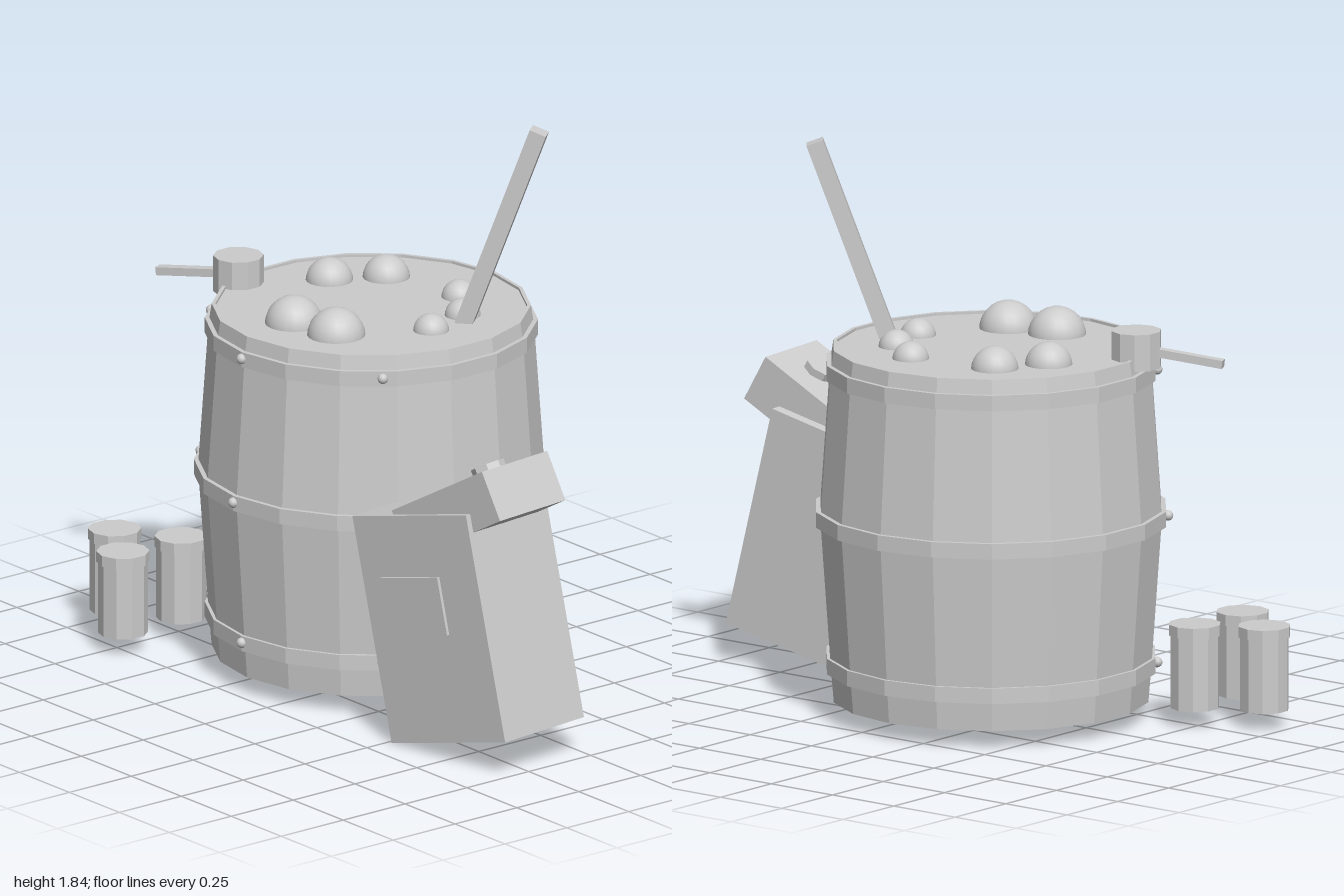
import * as THREE from 'three';

const rad = THREE.MathUtils.degToRad;

export function createModel() {
  const model = new THREE.Group();
  model.name = 'barrelStall';
  const grey = new THREE.MeshStandardMaterial({ color: 0xcccccc });
  grey.name = 'plainGrey';

  // facet a geometry so each face has its own normal
  const facet = (geometry) => {
    const g = geometry.index ? geometry.toNonIndexed() : geometry;
    g.computeVertexNormals();
    return g;
  };
  const add = (parent, name, geometry, x = 0, y = 0, z = 0) => {
    const mesh = new THREE.Mesh(geometry, grey);
    mesh.name = name;
    mesh.position.set(x, y, z);
    parent.add(mesh);
    return mesh;
  };
  const group = (name, x, y, z, parent = model) => {
    const g = new THREE.Group();
    g.name = name;
    g.position.set(x, y, z);
    parent.add(g);
    return g;
  };
  const lathe = (points) =>
    facet(new THREE.LatheGeometry(points.map(([r, y]) => new THREE.Vector2(r, y)), 18));

  // barrel with a shallow recessed top
  const barrel = group('barrel', -0.14, 0, -0.035);
  add(barrel, 'barrelBody', lathe([
    [0, 0.055], [0.502, 0.055], [0.512, 0.175], [0.545, 0.645], [0.512, 1.12],
    [0.502, 1.187], [0.49, 1.187], [0.49, 1.178], [0, 1.178],
  ]));

  // hoops, each with three rivets around the front
  for (const [y, r] of [[0.172, 0.524], [0.645, 0.558], [1.115, 0.524]]) {
    const h = 0.025;
    add(barrel, 'hoop', lathe([[0.49, y - h], [r, y - h], [r, y + h], [0.49, y + h]]));
    for (const a of [-0.96, 0, 0.96]) {
      add(barrel, 'rivet', new THREE.SphereGeometry(0.017, 10, 8),
        Math.sin(a) * r, y + 0.003, Math.cos(a) * r);
    }
  }

  // balls half sunk in the top: x, z, radius
  const balls = [
    [-0.34, -0.257, 0.075], [-0.43, 0.1, 0.075], [-0.174, 0.25, 0.092], [0, 0.22, 0.092],
    [-0.045, -0.315, 0.058], [0.1, -0.21, 0.057], [0.153, -0.04, 0.057],
  ];
  balls[1][1] = -0.1;
  for (const [x, z, r] of balls) {
    add(model, 'ball', new THREE.SphereGeometry(r, 20, 14), x, 1.175, z);
  }

  // box laid between two points, its length along local z
  const beam = (parent, name, from, to, w, h) => {
    const a = new THREE.Vector3(...from), b = new THREE.Vector3(...to);
    const mesh = add(parent, name, new THREE.BoxGeometry(w, h, a.distanceTo(b)));
    mesh.position.copy(a).add(b).multiplyScalar(0.5);
    mesh.lookAt(b);
    return mesh;
  };
  // stirring paddle
  beam(model, 'paddle', [0.13, 1.1, -0.159], [0.335, 1.825, -0.33], 0.053, 0.055);

  // ladle on the rim
  const ladle = group('ladle', 0, 0, 0);
  add(ladle, 'ladleCup', facet(new THREE.CylinderGeometry(0.08, 0.08, 0.118, 10)), -0.588, 1.21, 0.14);
  beam(ladle, 'ladleHandle', [-0.62, 1.206, 0.155], [-0.846, 1.176, 0.257], 0.032, 0.026);

  // capped cups beside the barrel
  for (const [x, z] of [[-0.917, 0.374], [-0.73, 0.257], [-0.73, 0.492]]) {
    const cup = group('cup', x, 0, z);
    add(cup, 'cupBody', facet(new THREE.CylinderGeometry(0.079, 0.079, 0.24, 10)), 0, 0.175, 0);
    add(cup, 'cupCap', facet(new THREE.CylinderGeometry(0.084, 0.084, 0.035, 10)), 0, 0.307, 0);
  }

  // crate leaning on the barrel, with a front plate
  const crate = group('crate', 0.66, 0.417, 0.22);
  crate.rotation.set(0, rad(6), rad(13.8), 'YXZ');
  add(crate, 'crateBox', new THREE.BoxGeometry(0.52, 0.733, 0.35));
  add(crate, 'crateLabelPlate', new THREE.BoxGeometry(0.265, 0.187, 0.02), -0.043, 0.075, 0.175);

  // tilted lid with a knob
  const lid = group('crateLid', 0.718, 0.803, 0.225);
  lid.rotation.set(0, rad(6), rad(29.3), 'YXZ');
  add(lid, 'lidBlock', new THREE.BoxGeometry(0.46, 0.165, 0.29));
  add(lid, 'lidKnob', facet(new THREE.CylinderGeometry(0.055, 0.055, 0.045, 8)), 0.105, 0.085, 0);

  return model;
}
